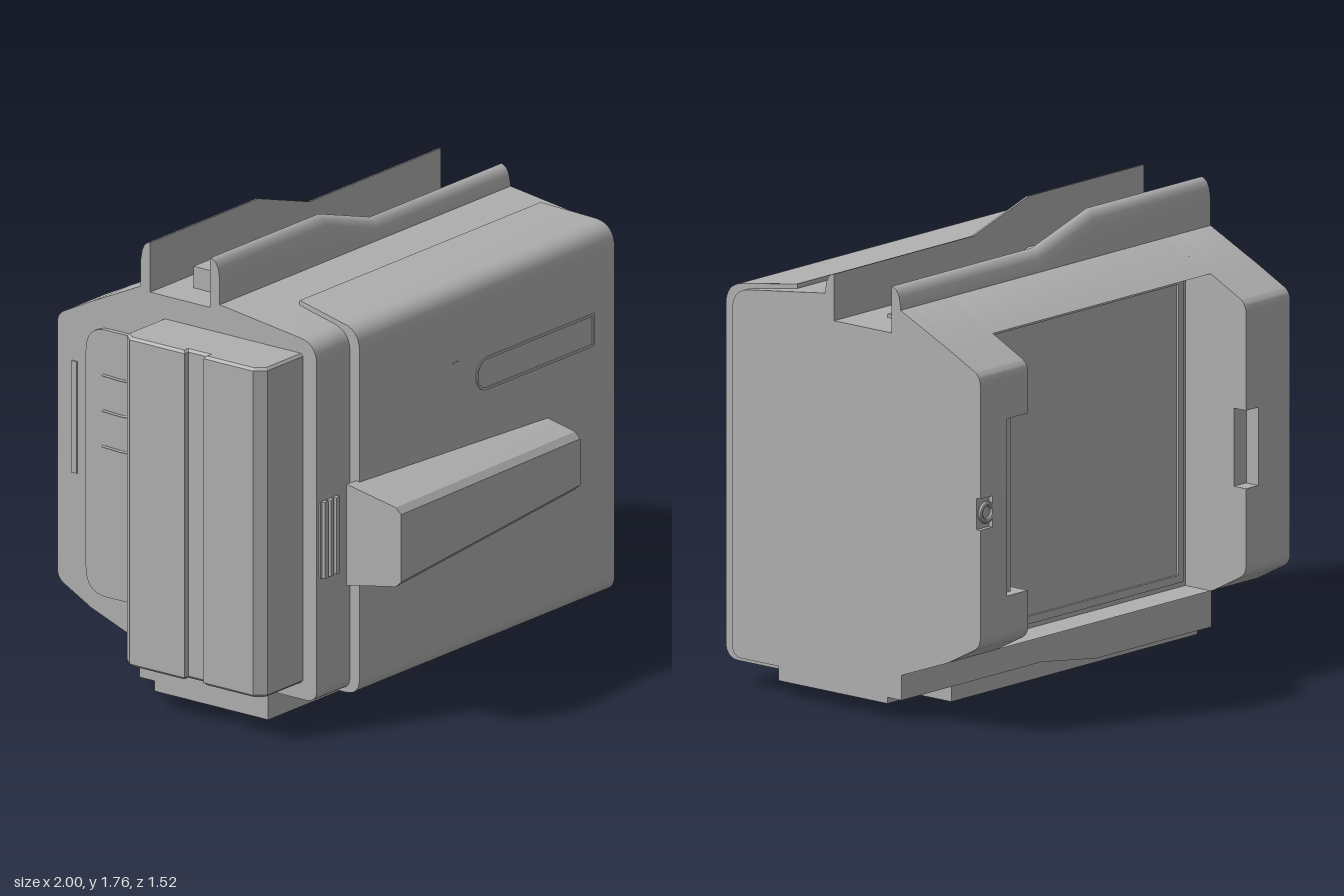
import * as THREE from 'three';
import { toCreasedNormals } from 'three/addons/utils/BufferGeometryUtils.js';

const gray = new THREE.MeshStandardMaterial({ color: 0xb0b0b0 });
gray.name = 'plain gray';

// Closed shape from [u, v, cornerRadius] points
function roundedShape(points, C = THREE.Shape) {
  const s = new C();
  const n = points.length;
  points.forEach(([u, v, r = 0], i) => {
    const p = new THREE.Vector2(u, v);
    const toward = (q) => p.clone().add(new THREE.Vector2(q[0], q[1]).sub(p).setLength(r));
    const a = r ? toward(points[(i + n - 1) % n]) : p;
    if (i === 0) s.moveTo(a.x, a.y); else s.lineTo(a.x, a.y);
    if (r) {
      const b = toward(points[(i + 1) % n]);
      s.quadraticCurveTo(u, v, b.x, b.y);
    }
  });
  s.closePath();
  return s;
}

// Side profile of [z, y, radius] points, swept from x0 to x1
function sweepX(x0, x1, profile) {
  const shape = roundedShape(profile.map(([z, y, r]) => [-z, y, r]));
  const g = new THREE.ExtrudeGeometry(shape, { depth: x1 - x0, bevelEnabled: false, curveSegments: 8 });
  return g.rotateY(Math.PI / 2).translate(x0, 0, 0);
}

// Skin over matching convex rings of [x, y, z], capped at both ends
function loft(rings) {
  const n = rings[0].length, idx = [];
  for (let r = 0; r < rings.length - 1; r++)
    for (let i = 0; i < n; i++) {
      const a = r * n + i, b = r * n + (i + 1) % n;
      idx.push(a, b, b + n, a, b + n, a + n);
    }
  const e = (rings.length - 1) * n;
  for (let i = 1; i < n - 1; i++) idx.push(0, i + 1, i, e, e + i, e + i + 1);
  const pts = rings.flat().map((p) => new THREE.Vector3(...p));
  let volume = 0;
  for (let i = 0; i < idx.length; i += 3)
    volume += pts[idx[i]].dot(pts[idx[i + 1]].clone().cross(pts[idx[i + 2]]));
  if (volume < 0) idx.reverse();
  const g = new THREE.BufferGeometry().setFromPoints(pts);
  g.setIndex(idx);
  return g;
}

// Height that steps along x from the tall end to the low end
const stepped = (tall, low) => [[-0.75, tall], [-0.1, tall], [0.21, low], [1, low]];

// Body side profile; the back edge is replaceable
function bodyProfile(back) {
  return [
    [0.47, 0.115, 0.05], [0.47, 1.525, 0.08], [0.01, 1.585], [-0.035, 1.585], [-0.035, 1.485],
    [-0.32, 1.485], [-0.32, 1.58], [-0.365, 1.58], ...back,
    [-0.37, 0.18], [-0.37, 0.085], [-0.3, 0.085], [-0.3, 0.06], [0.24, 0.06], [0.24, 0.115],
  ];
}
const backTop = [[-0.6, 1.47], [-0.76, 1.39, 0.035]];
const backBottom = [[-0.76, 0.35, 0.035], [-0.6, 0.265]];
const notched = (y0, y1, z) => [...backTop, [-0.76, y1], [z, y1], [z, y0], [-0.76, y0], ...backBottom];

export function createModel() {
  const model = new THREE.Group();
  const add = (name, geometry, parent = model) => {
    const mesh = new THREE.Mesh(toCreasedNormals(geometry, 0.5), gray);
    mesh.name = name;
    parent.add(mesh);
    return mesh;
  };
  const box = (name, x0, x1, y0, y1, z0, z1) => add(name,
    new THREE.BoxGeometry(x1 - x0, y1 - y0, z1 - z0)
      .translate((x0 + x1) / 2, (y0 + y1) / 2, (z0 + z1) / 2));

  // Body in slices, with a rear recess between two posts
  const full = [...backTop, ...backBottom];
  add('rightPost', sweepX(-0.75, -0.57, bodyProfile(full)));
  add('rightPostLatch', sweepX(-0.57, -0.5, bodyProfile(notched(0.68, 0.98, -0.7))));
  add('bodyMiddle', sweepX(-0.5, 0.73, bodyProfile(
    [[-0.585, 1.477], [-0.46, 1.477], [-0.46, 0.26], [-0.585, 0.26]])));
  add('leftPostSlot', sweepX(0.73, 0.85, bodyProfile(notched(0.52, 1.2, -0.67))));
  add('leftPost', sweepX(0.85, 0.93, bodyProfile(full)));
  add('leftPostEdge', sweepX(0.93, 1, bodyProfile(notched(0.8, 0.92, -0.742))));
  box('slotBar', 0.785, 0.805, 0.52, 1.2, -0.72, -0.66);

  // Rear panel with a thin border
  const border = roundedShape([[-0.48, 0.28], [0.71, 0.28], [0.71, 1.457], [-0.48, 1.457]]);
  border.holes.push(roundedShape([[-0.45, 0.31], [-0.45, 1.427], [0.68, 1.427], [0.68, 0.31]], THREE.Path));
  add('panelBorder', new THREE.ExtrudeGeometry(border, { depth: 0.012, bevelEnabled: false })
    .translate(0, 0, -0.47));

  // Strap eyelet on the rear left edge
  add('eyelet', new THREE.TorusGeometry(0.033, 0.01, 8, 24).translate(0.955, 0.86, -0.75));

  // Two top rails that step down together, rounded on the outside
  const railSection = [[0.01, 1.5], [-0.035, 1.5], [-0.035, 0], [-0.022, -0.003], [-0.008, -0.014],
    [0.003, -0.036], [0.01, -0.075]];
  for (const [name, flip] of [['frontRail', false], ['backRail', true]]) {
    add(name, loft(stepped(1.76, 1.665).map(([x, h]) => railSection.map(([z, y]) =>
      [x, y > 1 ? y : h + y, flip ? -0.355 - z : z]))));
  }

  // Channel floor, raised at the tall end, and its contacts
  const strip = (name, heights, y0, z0, z1) => add(name, loft(heights.map(([x, h]) =>
    [[x, y0, z0], [x, y0, z1], [x, h, z1], [x, h, z0]])));
  strip('channelFloor', stepped(1.565, 1.486), 1.45, -0.32, -0.035);
  box('channelStop', -0.61, -0.35, 1.5, 1.65, -0.225, -0.14);
  box('channelContact', 0.38, 0.83, 1.47, 1.5, -0.215, -0.15);

  // Base plate, rear lip and mounting hole rim
  box('basePlate', -0.75, 0.64, 0, 0.1, -0.3, 0.24);
  strip('baseLip', stepped(0.04, 0.084), 0.12, -0.37, -0.3);
  add('mountRim', new THREE.TorusGeometry(0.04, 0.012, 8, 24).rotateX(Math.PI / 2).translate(0.82, 0.06, -0.03));

  // Front cover, wrapped over the top with slanted ends
  const cover = sweepX(-0.55, 0.985, [
    [0.2, 1.578], [0.2, 1.54], [0.4, 1.5], [0.4, 0.2], [0.25, 0.14], [0.25, 0.1],
    [0.515, 0.1, 0.065], [0.515, 1.54, 0.085]]);
  const p = cover.attributes.position;
  for (let i = 0; i < p.count; i++) {
    const t = Math.max(0, (0.42 - p.getZ(i)) / 0.22);
    if (p.getY(i) > 1.53) p.setX(i, p.getX(i) + (p.getX(i) < 0 ? 0.04 : -0.045) * t);
  }
  add('frontCover', cover);

  // Outlined window on the cover, round at one end
  const windowOutline = (C, d) => {
    const s = new C();
    s.moveTo(0.86 - d, 1.1 + d);
    s.lineTo(0.86 - d, 1.23 - d);
    s.lineTo(0.215, 1.23 - d);
    s.absarc(0.215, 1.165, 0.065 - d, Math.PI / 2, Math.PI * 1.5, false);
    s.closePath();
    return s;
  };
  const rim = windowOutline(THREE.Shape, 0);
  rim.holes.push(windowOutline(THREE.Path, 0.01));
  add('windowRim', new THREE.ExtrudeGeometry(rim, { depth: 0.008, bevelEnabled: false }).translate(0, 0, 0.511));
  box('coverMark', 0.01, 0.045, 1.253, 1.258, 0.51, 0.517);

  // Tapered front grip
  const gripRing = (x, baseLow, baseHigh, low, high, z) => [
    [x, baseLow, 0.5], [x, low - 0.005, z - 0.025], [x, low + 0.018, z],
    [x, high - 0.018, z], [x, high + 0.005, z - 0.025], [x, baseHigh, 0.5]];
  add('frontGrip', loft([
    gripRing(-0.61, 0.547, 0.945, 0.595, 0.897, 0.76),
    gripRing(0.585, 0.605, 0.893, 0.64, 0.858, 0.668)]));

  // Small ribbed catch beside the grip
  box('catchPlate', -0.735, -0.625, 0.6, 0.9, 0.46, 0.476);
  for (const x of [-0.715, -0.68, -0.645]) box('catchRib', x - 0.01, x + 0.01, 0.6, 0.9, 0.46, 0.49);

  // Side block with chamfered corners and a vertical groove
  const outline = [[-0.74, -0.26], [-0.965, -0.26], [-1, -0.22], [-1, 0.04], [-0.975, 0.04],
    [-0.975, 0.13], [-1, 0.13], [-1, 0.365], [-0.965, 0.405], [-0.74, 0.405]];
  add('sideBlock', new THREE.ExtrudeGeometry(roundedShape(outline.map(([x, z]) => [x, -z])), {
    depth: 1.275, bevelThickness: 0.01, bevelSize: 0.01, bevelOffset: -0.01, bevelSegments: 1,
  }).rotateX(-Math.PI / 2).translate(0, 0.19, 0));

  // Side door with finger ridges, and a narrow bar behind it
  add('sideDoor', sweepX(-0.77, -0.74, [
    [-0.61, 0.33, 0.1], [-0.61, 1.38, 0.1], [-0.275, 1.38, 0.1], [-0.275, 0.33, 0.1]]));
  for (const y of [1.2, 1.06, 0.92]) {
    const path = new THREE.CatmullRomCurve3([[-0.53, y], [-0.4, y], [-0.34, y + 0.025], [-0.32, y + 0.08]]
      .map(([z, h]) => new THREE.Vector3(-0.77, h, z)));
    add('fingerRidge', new THREE.TubeGeometry(path, 12, 0.006, 6));
  }
  box('sideBar', -0.756, -0.74, 0.78, 1.22, -0.69, -0.665);

  return model;
}
